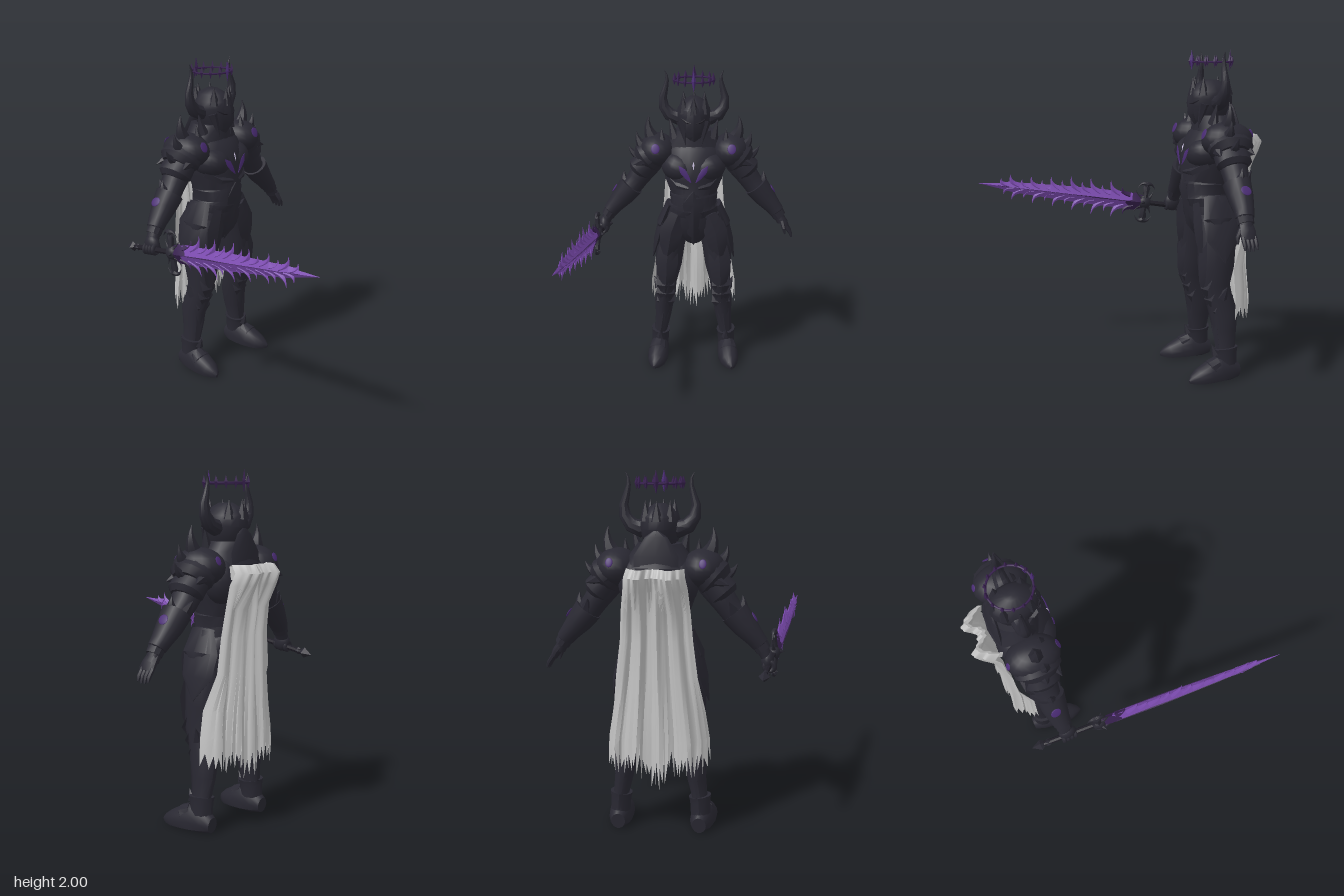
import * as THREE from 'three';
import { toCreasedNormals } from 'three/addons/utils/BufferGeometryUtils.js';

const mat = (name, color, side = THREE.FrontSide) => {
  const m = new THREE.MeshStandardMaterial({ color, side });
  m.name = name;
  return m;
};
const V = (a) => new THREE.Vector3(...a);
const X = [1, 0, 0], Y = [0, 1, 0], Z = [0, 0, 1];

// Closed skin over rings [x, y, z, radius across, radius along ref]; a sixth value flattens it onto the ground
function loft(rings, n = 14, ref = Z) {
  const pos = [], idx = [], last = rings.length - 1;
  rings.forEach((r, i) => {
    const t = V(rings[Math.min(i + 1, last)]).sub(V(rings[Math.max(i - 1, 0)])).normalize();
    const v = V(ref).addScaledVector(t, -t.dot(V(ref))).normalize();
    const u = v.clone().cross(t);
    for (let j = 0; j < n; j++) {
      const a = (j / n) * Math.PI * 2;
      const p = V(r).addScaledVector(u, r[3] * Math.cos(a)).addScaledVector(v, (r[4] ?? r[3]) * Math.sin(a));
      pos.push(p.x, r[5] ? Math.max(p.y, 0) : p.y, p.z);
    }
  });
  const c0 = pos.length / 3;
  pos.push(...rings[0].slice(0, 3), ...rings[last].slice(0, 3));
  for (let j = 0; j < n; j++) {
    const k = (j + 1) % n, e = last * n;
    for (let i = 0; i < last; i++) {
      const a = i * n + j, b = i * n + k;
      idx.push(a, b, b + n, a, b + n, a + n);
    }
    idx.push(c0, k, j, c0 + 1, e + j, e + k);
  }
  const g = new THREE.BufferGeometry();
  g.setAttribute('position', new THREE.Float32BufferAttribute(pos, 3));
  g.setIndex(idx);
  return toCreasedNormals(g, 0.6);
}

// Curved horn from base to tip; bend pushes its middle aside
function spike(base, tip, r, bend = [0, 0, 0], n = 6, flat = 1) {
  const b = V(base), d = V(tip).sub(b), rings = [];
  for (let i = 0; i <= 5; i++) {
    const t = i / 5, p = b.clone().addScaledVector(d, t).addScaledVector(V(bend), 4 * t * (1 - t));
    const w = Math.max(r * (1 - t), 0.0008);
    rings.push([p.x, p.y, p.z, w, w * flat]);
  }
  d.normalize();
  return loft(rings, n, flat !== 1 ? X : Math.abs(d.z) > 0.8 ? Y : Z);
}

export function createModel() {
  const armour = mat('black armour', 0x292832), dark = mat('dark undersuit', 0x1f1d26);
  const violet = mat('violet gem', 0x4a2c74), blade = mat('purple blade', 0x7c4bb0);
  const core = mat('deep purple', 0x38214f), glow = mat('pale glow', 0xcfc4e4);
  const cloth = mat('grey cloth', 0xc2c2c2, THREE.DoubleSide);
  const root = new THREE.Group(), body = new THREE.Group();
  body.name = 'knight';
  body.position.set(0.033, 0, -0.5);
  root.add(body);
  const add = (name, geo, m = armour, parent = body) => {
    const o = new THREE.Mesh(geo, m);
    o.name = name;
    parent.add(o);
    return o;
  };
  const ball = (name, p, s, m = armour, parent = body) => {
    const o = add(name, new THREE.SphereGeometry(1, 18, 12), m, parent);
    o.position.set(...p);
    o.scale.set(...s);
    return o;
  };
  const gem = (name, p, normal, w, h) =>
    ball(name, p, [w, h, 0.0048], violet).quaternion.setFromUnitVectors(V(Z), V(normal).normalize());
  const upright = (rows, n) => loft(rows.map(([y, rx, rz, cz]) => [0, y, cz, rx, rz]), n);

  // Torso, with stepped lames over the belly
  add('torso', upright([[0.86, 0.05, 0.07, 0], [0.92, 0.13, 0.12, 0], [1.0, 0.195, 0.14, 0.005], [1.07, 0.175, 0.148, 0.01],
    [1.075, 0.162, 0.142, 0.01], [1.13, 0.16, 0.156, 0.02], [1.135, 0.15, 0.148, 0.02], [1.2, 0.155, 0.16, 0.02],
    [1.205, 0.15, 0.154, 0.02], [1.3, 0.185, 0.174, 0.012], [1.4, 0.2, 0.172, 0], [1.48, 0.19, 0.145, -0.02],
    [1.55, 0.13, 0.11, -0.03], [1.6, 0.07, 0.08, -0.01]], 22));
  add('collar', upright([[1.47, 0.21, 0.15, -0.03], [1.55, 0.165, 0.125, -0.02], [1.61, 0.12, 0.12, -0.02], [1.6, 0.09, 0.09, -0.02]], 16));
  add('backCollar', loft([[0, 1.42, -0.15, 0.12, 0.02], [0, 1.55, -0.14, 0.12, 0.025], [0, 1.65, -0.13, 0.06, 0.015], [0, 1.69, -0.13, 0.003]], 8));
  add('bellyPlate', loft([[0, 1.25, 0.17, 0.01], [0, 1.16, 0.172, 0.07, 0.018], [0, 1.06, 0.148, 0.05, 0.02], [0, 0.95, 0.13, 0.04, 0.02], [0, 0.85, 0.07, 0.003]], 4));
  add('chestSlit', loft([[0, 1.44, 0.168, 0.001], [0, 1.42, 0.176, 0.006, 0.004], [0, 1.39, 0.182, 0.001]], 4), glow);

  // Helmet with low brow points
  add('helmet', upright([[1.53, 0.04, 0.05, 0.03], [1.57, 0.065, 0.095, 0.03], [1.64, 0.098, 0.125, 0.012], [1.7, 0.108, 0.138, 0],
    [1.75, 0.102, 0.13, 0], [1.79, 0.075, 0.1, 0], [1.82, 0.03, 0.04, 0]], 16));
  add('facePlate', loft([[0, 1.77, 0.12, 0.03, 0.01], [0, 1.7, 0.135, 0.045, 0.016], [0, 1.62, 0.128, 0.05, 0.018], [0, 1.53, 0.085, 0.004]], 4));
  for (const a of [0, 0.85, -0.85, 2.3, -2.3, Math.PI]) {
    const s = Math.sin(a), c = Math.cos(a);
    add('crownPoint', spike([0.085 * s, 1.73, 0.11 * c], [0.09 * s, 1.838, 0.115 * c], 0.036));
  }

  for (const s of [-1, 1]) {
    const S = (rings) => rings.map(([x, ...r]) => [s * x, ...r]);
    const horn = (name, a, b, r, bend = [0, 0, 0]) =>
      add(name, spike([s * a[0], a[1], a[2]], [s * b[0], b[1], b[2]], r, [s * bend[0], bend[1], bend[2]]));
    // Helmet horns and eyes
    add('helmetHorn', loft(S([[0.05, 1.7, -0.01, 0.045], [0.105, 1.685, -0.01, 0.048], [0.155, 1.705, -0.01, 0.042], [0.19, 1.755, -0.01, 0.033],
      [0.196, 1.815, -0.01, 0.025], [0.18, 1.87, -0.01, 0.018], [0.169, 1.92, -0.01, 0.012], [0.172, 1.955, -0.01, 0.007], [0.185, 1.985, -0.01, 0.001]]), 10));
    add('eyeSlit', loft(S([[0.018, 1.677, 0.145, 0.002], [0.045, 1.683, 0.132, 0.007, 0.004], [0.075, 1.7, 0.106, 0.002]]), 4), dark);
    horn('cheekGuard', [0.075, 1.68, 0.07], [0.05, 1.53, 0.1], 0.035);
    horn('collarSpike', [0.12, 1.56, 0.03], [0.155, 1.69, 0.02], 0.035);

    // Chest
    const pec = ball('breastPlate', [s * 0.085, 1.38, 0.05], [0.125, 0.1, 0.132]);
    pec.rotation.z = s * 0.3;
    add('chestMark', loft(S([[0.092, 1.415, 0.175, 0.002], [0.068, 1.385, 0.183, 0.02, 0.004], [0.04, 1.345, 0.186, 0.015, 0.004], [0.015, 1.31, 0.188, 0.002]]), 6), violet);
    ball('shoulderBlade', [s * 0.1, 1.4, -0.07], [0.12, 0.14, 0.1]);
    add('ribPlate', loft(S([[0.03, 1.27, 0.185, 0.008], [0.1, 1.28, 0.155, 0.026, 0.012], [0.165, 1.33, 0.075, 0.03, 0.02]]), 4));

    // Layered shoulder guard with thorns
    ball('shoulderGuard', [s * 0.235, 1.475, -0.01], [0.12, 0.108, 0.158]);
    add('shoulderLame', loft(S([[0.22, 1.49, -0.01, 0.09, 0.14], [0.3, 1.425, -0.01, 0.108, 0.138], [0.325, 1.4, -0.01, 0.085, 0.1]]), 14));
    add('lowerShoulderLame', loft(S([[0.27, 1.43, -0.01, 0.08, 0.11], [0.345, 1.345, -0.01, 0.09, 0.108], [0.36, 1.325, -0.01, 0.068, 0.08]]), 14));
    horn('tallShoulderSpike', [0.25, 1.53, 0], [0.285, 1.7, 0], 0.055, [0.022, 0, 0]);
    horn('shoulderSpike', [0.3, 1.49, 0.02], [0.365, 1.6, 0.02], 0.05, [0.015, -0.01, 0]);
    horn('shoulderSpike', [0.33, 1.43, 0], [0.42, 1.505, 0], 0.045, [0.01, -0.012, 0]);
    horn('innerShoulderSpike', [0.2, 1.52, 0.06], [0.205, 1.63, 0.05], 0.035);
    for (const z of [-0.1, 0.08]) horn('shoulderThorn', [0.32, 1.42, z], [0.385, 1.4, z * 1.2], 0.035);
    gem('shoulderGem', [s * 0.24, 1.515, 0.139], [0, 0.4, 1], 0.027, 0.032);
    gem('rearShoulderGem', [s * 0.25, 1.515, -0.157], [0, 0.4, -1], 0.02, 0.026);

    // Arm
    add('arm', loft(S([[0.2, 1.49, -0.01, 0.07], [0.29, 1.39, -0.01, 0.085, 0.09], [0.36, 1.29, -0.01, 0.07, 0.08], [0.4, 1.235, -0.005, 0.066, 0.07],
      [0.43, 1.2, 0, 0.07, 0.074], [0.49, 1.13, 0, 0.058, 0.062], [0.55, 1.06, 0.01, 0.036, 0.042], [0.58, 1.0, 0.014, 0.032, 0.042]])));
    add('forearmGuard', loft(S([[0.405, 1.24, 0, 0.082, 0.085], [0.46, 1.17, 0, 0.072, 0.076], [0.52, 1.1, 0.005, 0.054, 0.06],
      [0.545, 1.068, 0.01, 0.05, 0.054], [0.55, 1.06, 0.01, 0.036, 0.042]])));
    add('wristCuff', loft(S([[0.53, 1.09, 0.01, 0.048, 0.053], [0.565, 1.035, 0.012, 0.043, 0.048]]), 10));
    horn('elbowSpike', [0.43, 1.23, 0], [0.45, 1.335, -0.01], 0.05, [0.012, 0, 0]);
    horn('elbowThorn', [0.4, 1.25, -0.05], [0.385, 1.31, -0.1], 0.04);
    gem('forearmGem', [s * 0.516, 1.217, -0.008], [s * 0.84, 0.54, 0], 0.032, 0.028);

    // Leg
    add('leg', loft(S([[0.11, 1.0, 0, 0.09, 0.12], [0.155, 0.85, 0.01, 0.098, 0.122], [0.165, 0.7, 0.012, 0.086, 0.112], [0.18, 0.58, 0.025, 0.068, 0.094],
      [0.185, 0.5, 0, 0.064, 0.086], [0.2, 0.4, -0.027, 0.064, 0.09], [0.207, 0.3, -0.03, 0.053, 0.076], [0.225, 0.19, -0.032, 0.044, 0.06],
      [0.23, 0.08, -0.04, 0.05, 0.066]])));
    add('thighPlate', loft(S([[0.16, 0.86, 0.1, 0.06, 0.02], [0.175, 0.74, 0.112, 0.075, 0.024], [0.18, 0.62, 0.11, 0.05, 0.022], [0.183, 0.55, 0.11, 0.003]]), 4));
    for (let i = 0; i < 3; i++) {
      const y = 0.63 - i * 0.07, z = 0.1 - i * 0.025;
      add('kneePlate', loft(S([[0.185, y, z - 0.03, 0.055, 0.03], [0.187, y - 0.06, z, 0.062, 0.022], [0.19, y - 0.14, z - 0.02, 0.004]]), 4));
    }
    horn('kneeThorn', [0.23, 0.52, 0], [0.268, 0.59, -0.02], 0.035);
    add('shinPlate', loft(S([[0.195, 0.45, 0.04, 0.045, 0.02], [0.207, 0.32, 0.034, 0.038, 0.018], [0.225, 0.19, 0.02, 0.025, 0.012]]), 4));

    // Boot with a flared cuff and a high instep
    add('bootCuff', loft(S([[0.23, 0.09, -0.035, 0.056, 0.068], [0.227, 0.165, -0.032, 0.058, 0.072], [0.225, 0.195, -0.03, 0.064, 0.08], [0.224, 0.19, -0.03, 0.04, 0.06]]), 12));
    horn('bootSpike', [0.225, 0.16, 0.03], [0.225, 0.22, 0.06], 0.03);
    add('boot', loft(S([[0.23, 0.045, -0.115, 0.04, 0.045, 1], [0.232, 0.05, -0.06, 0.06, 0.085, 1], [0.236, 0.05, 0.01, 0.066, 0.1, 1],
      [0.242, 0.04, 0.08, 0.07, 0.082, 1], [0.25, 0.025, 0.15, 0.058, 0.058, 1], [0.258, 0.015, 0.195, 0.032, 0.035, 1], [0.264, 0.01, 0.217, 0.008, 0.014, 1]]), 14, Y));
    add('toePlate', loft(S([[0.238, 0.09, 0.02, 0.055, 0.06], [0.243, 0.075, 0.07, 0.062, 0.056], [0.246, 0.05, 0.09, 0.04, 0.035]]), 10, Y));

    // Hip plates: side, front, back
    add('sideTasset', loft(S([[0.165, 1.12, 0, 0.02, 0.06], [0.205, 1.0, 0, 0.028, 0.12], [0.238, 0.87, 0, 0.026, 0.105], [0.27, 0.74, 0, 0.003]]), 8));
    add('upperTasset', loft(S([[0.16, 1.13, 0.02, 0.02, 0.08], [0.215, 1.0, 0.02, 0.026, 0.1], [0.235, 0.93, 0.02, 0.003]]), 8));
    add('frontTasset', loft(S([[0.1, 1.08, 0.125, 0.05, 0.02], [0.145, 0.96, 0.13, 0.075, 0.026], [0.16, 0.86, 0.125, 0.06, 0.022], [0.18, 0.75, 0.115, 0.003]]), 4));
    add('backTasset', loft(S([[0.08, 1.08, -0.11, 0.06, 0.02], [0.13, 0.94, -0.1, 0.09, 0.025], [0.16, 0.76, -0.09, 0.004]]), 6));
  }

  // Open left hand
  add('leftPalm', loft([[0.56, 1.04, 0.012, 0.028, 0.04], [0.595, 0.995, 0.015, 0.026, 0.05], [0.615, 0.955, 0.015, 0.018, 0.045]], 10));
  for (let i = 0; i < 4; i++) {
    const z = -0.022 + i * 0.024, d = Math.abs(i - 1.6) * 0.008;
    add('leftFinger', loft([[0.61, 0.97, z, 0.013], [0.637, 0.93, z, 0.012], [0.646, 0.89 + d, z, 0.006]], 6));
  }
  add('leftThumb', loft([[0.58, 1.01, 0.05, 0.016], [0.592, 0.965, 0.075, 0.013], [0.6, 0.93, 0.075, 0.005]], 6));
  // Right fist closed on the grip
  ball('rightFist', [-0.588, 0.975, 0.02], [0.036, 0.06, 0.054]);
  for (let i = 0; i < 4; i++) {
    const f = add('rightFinger', new THREE.TorusGeometry(0.026, 0.013, 6, 12));
    f.position.set(-0.598, 0.948 + i * 0.003, -0.015 + i * 0.024);
  }

  // Floating thorn crown
  const halo = new THREE.Group();
  halo.name = 'floatingCrown';
  halo.position.set(0, 1.925, 0);
  body.add(halo);
  add('crownRing', new THREE.TorusGeometry(0.122, 0.006, 6, 36).rotateX(Math.PI / 2), core, halo);
  for (let i = 0; i < 14; i++) {
    const a = (i / 14) * Math.PI * 2, big = i % 7 === 0;
    const o = add('crownThorn', new THREE.OctahedronGeometry(1), i === 0 ? violet : core, halo);
    o.position.set(0.125 * Math.sin(a), big ? 0.01 : 0.005, 0.125 * Math.cos(a));
    o.scale.set(big ? 0.015 : 0.012, big ? 0.064 : 0.036, 0.012);
  }

  // Torn cape: rows of [y, z, half width], rolled at the top, ragged at the hem
  const rows = [[1.41, -0.225, 0.15], [1.48, -0.215, 0.15], [1.49, -0.235, 0.155], [1.445, -0.268, 0.165], [1.38, -0.24, 0.175], [1.25, -0.2, 0.19],
    [1.1, -0.182, 0.2], [0.9, -0.18, 0.225], [0.7, -0.182, 0.26], [0.55, -0.187, 0.285], [0.43, -0.19, 0.29]];
  const N = 60, pos = [], idx = [];
  let seed = 7;
  const rnd = () => (seed = (seed * 16807) % 2147483647) / 2147483647;
  const hems = Array.from({ length: N + 1 }, (_, i) => {
    const centre = Math.max(0, 1 - Math.abs(i / N - 0.5) * 7);
    return (i % 2 ? 0.08 * rnd() : -0.02 - 0.08 * rnd()) - 0.08 * centre;
  });
  rows.forEach(([y, z, w], r) => {
    const top = r < 5, low = r > 7;
    for (let i = 0; i <= N; i++) {
      const u = (i / N) * 2 - 1;
      const fold = (top ? -0.035 * Math.cos((Math.abs(u) - 0.55) * 5) : 0) - (top ? 0.008 : 0.02) * Math.cos(u * 13 + r * 0.15) + 0.005 * Math.sin(u * 31);
      const hem = r === rows.length - 1 ? hems[i] : low ? hems[i] * 0.15 : 0;
      pos.push(u * w + (low ? 0.006 * Math.sin(i * 2.4) : 0), Math.max(y + hem, 0.27), z + fold + (low ? 0.12 : 0.05) * u ** 6);
      if (r && i) {
        const d = r * (N + 1) + i, b = d - N - 1;
        idx.push(b - 1, b, d, b - 1, d, d - 1);
      }
    }
  });
  const cape = new THREE.BufferGeometry();
  cape.setAttribute('position', new THREE.Float32BufferAttribute(pos, 3));
  cape.setIndex(idx);
  add('cape', toCreasedNormals(cape, 0.8), cloth);

  // Sword, built along +z from its guard
  const sword = new THREE.Group();
  sword.name = 'sword';
  sword.position.set(-0.582, 0.977, -0.29);
  sword.lookAt(-0.687, 1.145, 0.82);
  root.add(sword);
  add('blade', loft([[0, 0, 0.06, 0.024, 0.052], [0, 0, 0.15, 0.028, 0.058], [0, 0, 0.5, 0.026, 0.052], [0, 0, 0.85, 0.018, 0.036], [0, 0, 1.125, 0.001]], 4, Y), blade, sword);
  add('bladeBase', loft([[0, 0, 0.02, 0.024, 0.045], [0, 0, 0.07, 0.029, 0.06], [0, 0, 0.16, 0.027, 0.03]], 4, Y), core, sword);
  add('bladeRidge', loft([[0, 0, 0.1, 0.03, 0.024], [0, 0, 0.4, 0.031, 0.014], [0, 0, 0.75, 0.023, 0.008], [0, 0, 1.0, 0.013, 0.003]], 4, Y), core, sword);
  for (const s of [-1, 1]) {
    for (let i = 0; i < 13; i++) {
      const z = 0.08 + i * 0.068 + (s > 0 ? 0.03 : 0), y = 0.052 - i * 0.0022;
      const h = ((i % 2 ? 0.07 : 0.035) + 0.02 * rnd()) * (1 - i * 0.03), x = 0.02 * (rnd() - 0.5);
      add('bladeFlame', spike([0, s * (y - 0.02), z], [x, s * (y + h), z + 0.045 + h * 0.4], 0.028, [0, s * -0.01, 0.018], 4, 0.7), i < 1 ? core : blade, sword);
    }
    // Guard arms ending in hooked crescents
    add('guardArm', loft([[0, 0, 0, 0.028, 0.02], [0, s * 0.06, 0, 0.018, 0.018], [0, s * 0.1, 0, 0.015, 0.028], [0, s * 0.14, 0, 0.004]], 6), armour, sword);
    for (const e of [-1, 1]) {
      add('guardHook', spike([0, s * 0.12, 0], [0, s * 0.095, e * 0.06], 0.02, [0, s * 0.018, 0]), armour, sword);
      add('guardThorn', spike([0, s * 0.025, e * 0.01], [0, s * 0.075, e * 0.06 + 0.01], 0.022, [0, -s * 0.015, 0]), armour, sword);
    }
    add('guardSideThorn', spike([0, 0, 0], [s * 0.055, 0, 0.03], 0.026), armour, sword);
  }
  ball('guardKnot', [0, 0, 0], [0.034, 0.042, 0.045], armour, sword);
  add('grip', loft([[0, 0, -0.35, 0.015], [0, 0, -0.2, 0.018], [0, 0, 0, 0.016]], 8, Y), dark, sword);
  add('pommel', loft([[0, 0, -0.42, 0.001], [0, 0, -0.365, 0.032], [0, 0, -0.34, 0.014], [0, 0, -0.32, 0.022], [0, 0, -0.3, 0.014]], 4, Y), armour, sword);
  return root;
}
